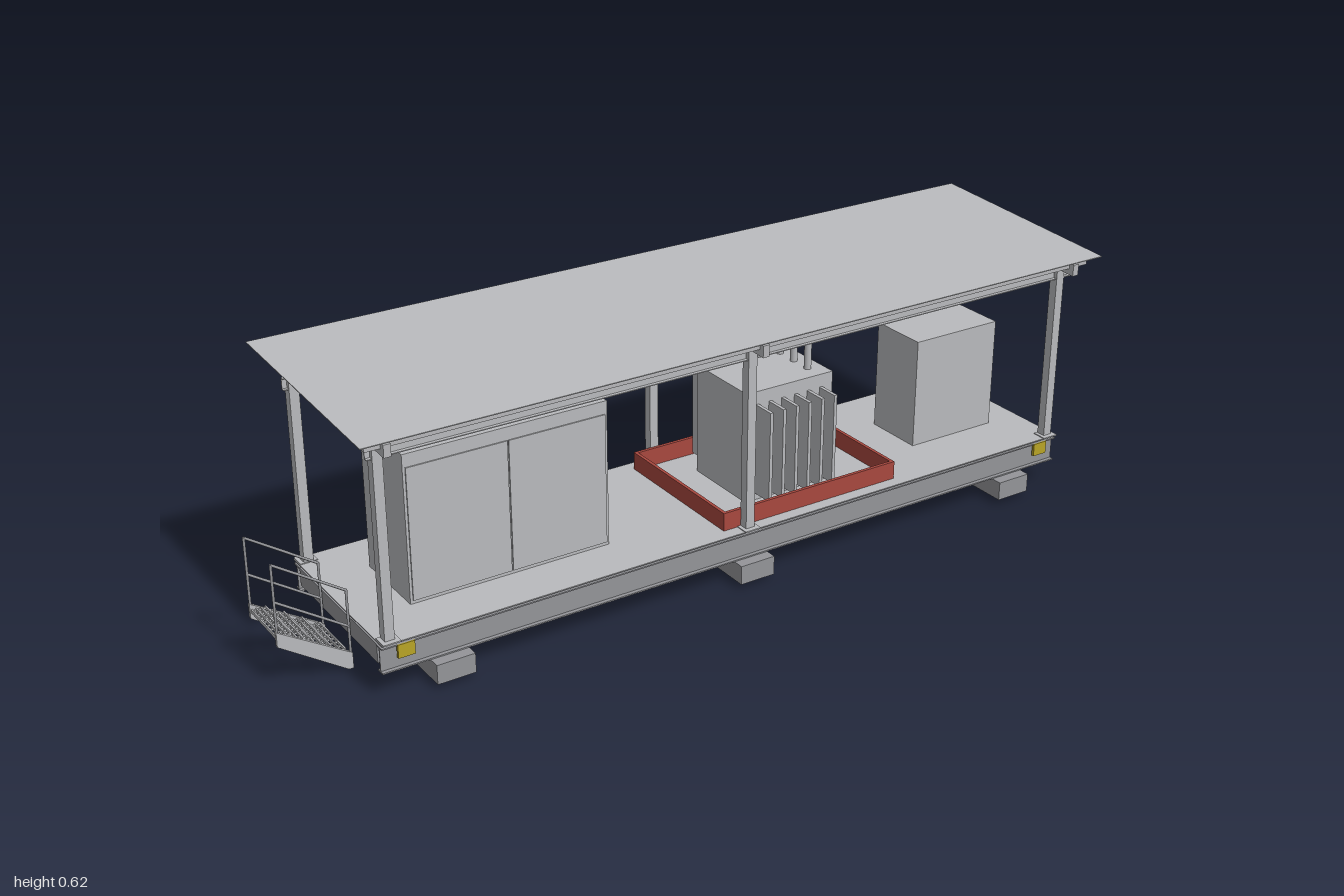
import * as THREE from 'three';

const mat = (name, color, extra = {}) => {
  const m = new THREE.MeshStandardMaterial({ color, ...extra });
  m.name = name;
  return m;
};

export function createModel() {
  const root = new THREE.Group();
  const paint = mat('light grey paint', 0xb9babd);
  const steel = mat('dark steel', 0x949599);
  const red = mat('red tray', 0xa8483f);
  const yellow = mat('yellow lug', 0xb9a426);

  const group = (name, parent = root) => {
    const g = new THREE.Group();
    g.name = name;
    parent.add(g);
    return g;
  };
  const add = (name, geo, m, parent) => {
    const mesh = new THREE.Mesh(geo, m);
    mesh.name = name;
    parent.add(mesh);
    return mesh;
  };
  // Box given by its minimum and maximum along each axis
  const box = (name, x0, x1, y0, y1, z0, z1, m, parent = root) => {
    const b = add(name, new THREE.BoxGeometry(x1 - x0, y1 - y0, z1 - z0), m, parent);
    b.position.set((x0 + x1) / 2, (y0 + y1) / 2, (z0 + z1) / 2);
    return b;
  };
  // Round bar between two points
  const bar = (name, a, b, r, m, parent, sides = 8) => {
    const p = new THREE.Vector3(...a), q = new THREE.Vector3(...b);
    const d = q.clone().sub(p);
    const c = add(name, new THREE.CylinderGeometry(r, r, d.length(), sides), m, parent);
    c.position.copy(p).add(q).multiplyScalar(0.5);
    c.quaternion.setFromUnitVectors(new THREE.Vector3(0, 1, 0), d.normalize());
    return c;
  };

  const postX = [-0.818, 0.056, 0.93];

  // Base: footings, side I-beams, cross joists, deck plate
  const base = group('base');
  for (const x of [-0.69, 0.056, 0.802])
    box('footing', x - 0.044, x + 0.044, 0.014, 0.059, -0.238, 0.238, steel, base);
  for (const s of [-1, 1]) {
    const z = s * 0.2;
    box('beamWeb', -0.84, 0.95, 0.06, 0.118, z - 0.0015, z + 0.0015, steel, base);
    box('beamTopFlange', -0.84, 0.95, 0.116, 0.119, z - 0.013, z + 0.013, steel, base);
    box('beamBottomFlange', -0.84, 0.95, 0.059, 0.062, z - 0.011, z + 0.011, steel, base);
    for (const x of [-0.787, 0.9])
      box('liftingLug', x - 0.019, x + 0.019, 0.088, 0.119, s * 0.2125 - 0.0035, s * 0.2125 + 0.0035, yellow, base);
  }
  for (let i = 0; i < 10; i++) {
    const x = -0.828 + i * 0.196;
    box('joist', x - 0.011, x + 0.011, 0.075, 0.118, -0.188, 0.188, steel, base);
  }
  box('deck', -0.84, 0.95, 0.1245, 0.127, -0.215, 0.215, paint, base);

  // Posts with base plates, and the channel rails along their tops
  const frame = group('frame');
  for (const s of [-1, 1]) {
    for (const x of postX) {
      box('post', x - 0.011, x + 0.011, 0.127, 0.551, s * 0.195 - 0.011, s * 0.195 + 0.011, paint, frame);
      box('postBasePlate', x - 0.02, x + 0.02, 0.126, 0.129, s * 0.2 - 0.018, s * 0.2 + 0.018, paint, frame);
    }
    const z = s * 0.195;
    box('railWeb', -0.84, 0.965, 0.53, 0.557, z - 0.001, z + 0.001, paint, frame);
    for (const y of [0.53, 0.555])
      box('railFlange', -0.84, 0.965, y, y + 0.002, z, z + 0.009, paint, frame);
  }

  // Sloping roof: rafters, purlins and a thin sheet
  const rafters = group('roofFrame');
  rafters.position.set(0, 0.5775, 0);
  rafters.rotation.x = 0.045;
  for (const x of postX)
    box('rafter', x - 0.008, x + 0.008, -0.014, 0.014, -0.254, 0.254, paint, rafters);
  for (const z of [-0.235, -0.115, 0, 0.115, 0.235])
    box('purlin', -0.86, 0.975, 0.001, 0.0135, z - 0.006, z + 0.006, paint, rafters);
  const sheet = box('roofSheet', -0.88, 0.995, 0.604, 0.606, -0.269, 0.269, paint);
  sheet.rotation.x = 0.052;

  // Wide cabinet with two front doors
  const wide = group('wideCabinet');
  box('cabinetBody', -0.718, -0.241, 0.127, 0.468, -0.097, 0.097, paint, wide);
  for (const [a, b] of [[-0.712, -0.481], [-0.478, -0.247]])
    box('cabinetDoor', a, b, 0.135, 0.438, 0.097, 0.1, paint, wide);

  // Narrow cabinet
  box('narrowCabinet', 0.622, 0.86, 0.125, 0.394, -0.074, 0.074, paint);

  // Open red spill tray
  const tray = group('tray');
  for (const s of [-1, 1]) {
    box('trayLongWall', 0, 0.475, 0.126, 0.17, s * 0.181 - 0.004, s * 0.181 + 0.004, red, tray);
    const x = s < 0 ? 0 : 0.467;
    box('trayEndWall', x, x + 0.008, 0.126, 0.17, -0.177, 0.177, red, tray);
  }

  // Transformer: tank, cooling fins, bushings and oil drum
  const trafo = group('transformer');
  box('tank', 0.118, 0.354, 0.127, 0.394, -0.098, 0.098, paint, trafo);
  for (let i = 0; i < 6; i++) {
    const x = 0.147 + i * 0.035;
    for (const s of [-1, 1])
      box('coolingFin', x - 0.004, x + 0.004, 0.145, 0.363, s * 0.125 - 0.029, s * 0.125 + 0.029, paint, trafo);
  }
  for (const z of [-0.052, 0.001, 0.054])
    bar('bushing', [0.316, 0.39, z], [0.316, 0.458, z], 0.0085, paint, trafo, 16);
  bar('oilDrum', [0.154, 0.4535, -0.045], [0.316, 0.4535, -0.045], 0.032, paint, trafo, 32);
  bar('drumPipe', [0.235, 0.39, -0.045], [0.235, 0.43, -0.045], 0.006, paint, trafo, 12);

  // Stair: sloping stringers, grated treads and handrails
  const stair = group('stair');
  const stringer = new THREE.Shape([[-1, 0.137], [-0.84, 0.038], [-0.84, 0.002], [-0.851, 0.002], [-1, 0.103]]
    .map(p => new THREE.Vector2(...p)));
  for (const z of [-0.0725, 0.0635]) {
    const g = new THREE.ExtrudeGeometry(stringer, { depth: 0.008, bevelEnabled: false });
    add('stringer', g, paint, stair).position.z = z - 0.004;
    bar('handrail', [-0.997, 0.288, z], [-0.843, 0.184, z], 0.003, steel, stair);
    bar('midRail', [-0.997, 0.204, z], [-0.843, 0.1, z], 0.003, steel, stair);
    bar('railPost', [-0.997, 0.12, z], [-0.997, 0.289, z], 0.003, steel, stair);
    bar('railPost', [-0.843, 0.02, z], [-0.843, 0.185, z], 0.003, steel, stair);
  }
  for (let i = 0; i < 4; i++) {
    const x = -0.998 + i * 0.038, y = 0.116 - i * 0.025;
    for (let j = 0; j < 4; j++)
      box('treadBar', x + j * 0.01, x + j * 0.01 + 0.003, y, y + 0.008, -0.0685, 0.0595, paint, stair);
    for (let k = 0; k < 8; k++) {
      const z = -0.066 + k * 0.0175;
      box('treadCrossBar', x, x + 0.033, y + 0.002, y + 0.007, z, z + 0.003, paint, stair);
    }
  }
  return root;
}
